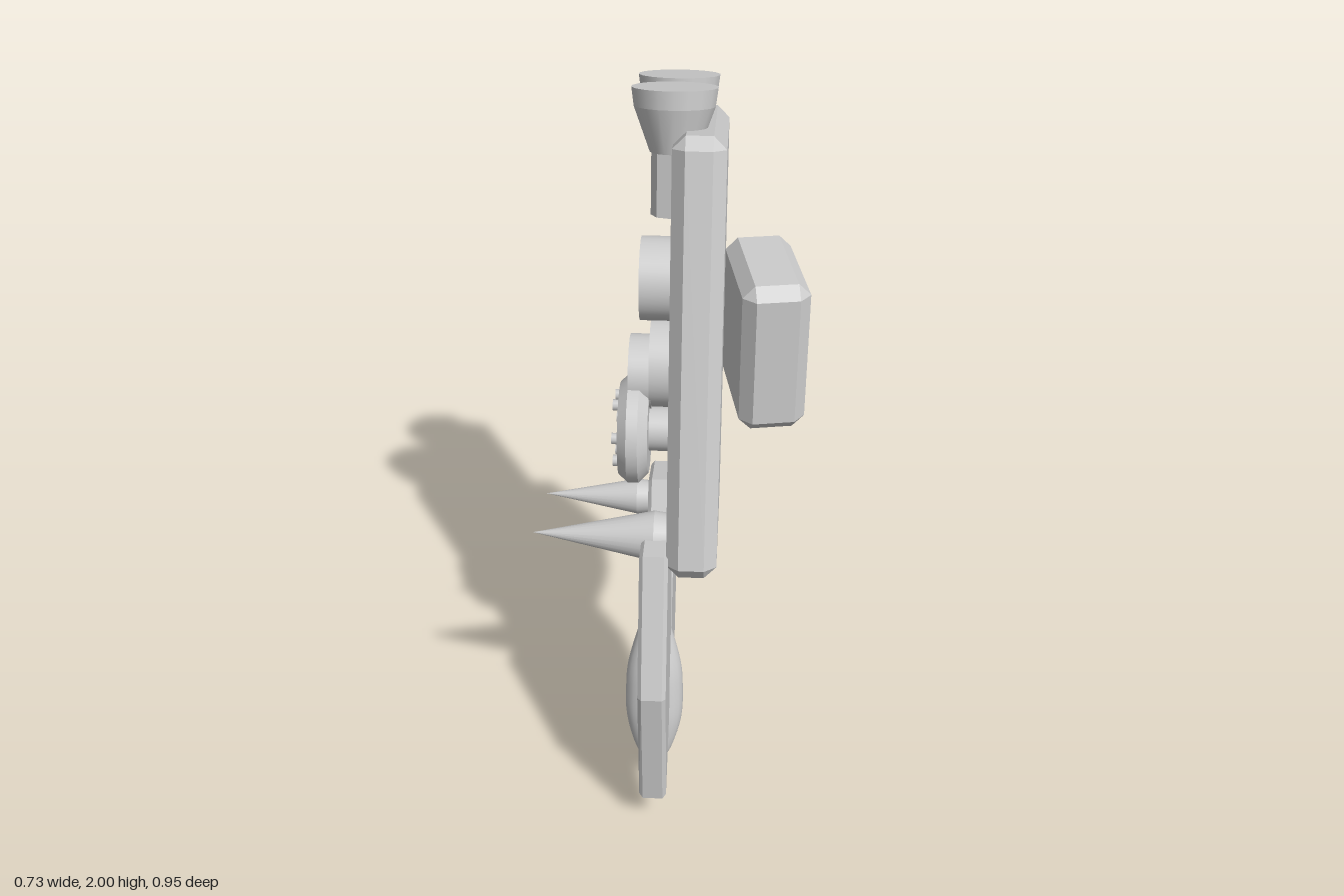
import * as THREE from 'three';
import { ConvexGeometry } from 'three/addons/geometries/ConvexGeometry.js';

const grey = new THREE.MeshStandardMaterial({ color: 0xcccccc });
grey.name = 'grey';

const YAW = -0.167, TILT = -0.237;

function add(parent, name, geometry, x = 0, y = 0, z = 0) {
  const mesh = new THREE.Mesh(geometry, grey);
  mesh.name = name;
  mesh.position.set(x, y, z);
  parent.add(mesh);
  return mesh;
}

// Box with every edge cut at 45 degrees
function chamferBox(w, h, d, c) {
  const points = [];
  for (const sx of [-1, 1]) for (const sy of [-1, 1]) for (const sz of [-1, 1]) {
    const x = w / 2, y = h / 2, z = d / 2;
    points.push(
      new THREE.Vector3(sx * x, sy * (y - c), sz * (z - c)),
      new THREE.Vector3(sx * (x - c), sy * y, sz * (z - c)),
      new THREE.Vector3(sx * (x - c), sy * (y - c), sz * z));
  }
  return new ConvexGeometry(points);
}

// Disc whose axis lies along x, from x0 (outer, left) to x1
function disc(parent, name, r, x0, x1, y, z, sides = 32, rOuter = r) {
  const g = new THREE.CylinderGeometry(rOuter, r, x1 - x0, sides).rotateZ(Math.PI / 2);
  return add(parent, name, g, (x0 + x1) / 2, y, z);
}

// Flat fin from an outline of [z, y] points
function fin(parent, name, outline) {
  const shape = new THREE.Shape(outline.map(([z, y]) => new THREE.Vector2(-z / 0.986, y)));
  const b = 0.01, t = 0.075;
  const g = new THREE.ExtrudeGeometry(shape, {
    depth: t - 2 * b, bevelEnabled: true, bevelSegments: 1,
    bevelSize: b, bevelThickness: b, bevelOffset: -b,
  });
  g.translate(0, 0, b - t / 2).rotateY(Math.PI / 2);
  const mesh = add(parent, name, g, -0.004, 0, 0);
  mesh.rotation.y = YAW;
}

export function createModel() {
  const model = new THREE.Group();
  model.name = 'model';

  // Leaning slab with everything fixed to it
  const pack = new THREE.Group();
  pack.name = 'pack';
  pack.position.set(0.1, 1.3, -0.035);
  pack.rotation.set(TILT, YAW, 0, 'YXZ');
  model.add(pack);
  add(pack, 'slab', chamferBox(0.13, 1.13, 0.63, 0.032));

  // Two flared cups on short faceted columns, joined by a plate
  for (const side of [-1, 1]) {
    const nozzle = new THREE.Group();
    nozzle.name = side > 0 ? 'frontNozzle' : 'rearNozzle';
    nozzle.position.set(-0.065, 0.66, side * 0.14);
    pack.add(nozzle);
    add(nozzle, 'lip', new THREE.CylinderGeometry(0.106, 0.1, 0.045, 18), 0, -0.0225, 0);
    add(nozzle, 'cup', new THREE.CylinderGeometry(0.1, 0.06, 0.11, 18), 0, -0.1, 0);
    add(nozzle, 'column', new THREE.CylinderGeometry(0.056, 0.056, 0.17, 8).toNonIndexed(), 0, -0.225, 0)
      .geometry.computeVertexNormals();
  }
  add(pack, 'columnPlate', new THREE.BoxGeometry(0.04, 0.17, 0.26), -0.068, 0.455, 0);

  // Row of discs on the left-hand face
  disc(pack, 'upperDisc', 0.11, -0.153, -0.06, 0.152, -0.012);
  disc(pack, 'middleDiscBase', 0.12, -0.125, -0.06, -0.075, -0.014);
  disc(pack, 'middleDisc', 0.1, -0.18, -0.12, -0.1, -0.008);
  disc(pack, 'lowerHub', 0.06, -0.15, -0.06, -0.252, 0.018);

  // Domed lower disc with a ring of bolts
  disc(pack, 'lowerDiscBack', 0.12, -0.15, -0.125, -0.252, 0.018, 32, 0.147);
  disc(pack, 'lowerDisc', 0.147, -0.18, -0.15, -0.252, 0.018);
  disc(pack, 'lowerDiscFace', 0.147, -0.204, -0.18, -0.252, 0.018, 32, 0.125);
  for (let i = 0; i < 6; i++) {
    const a = (i + 0.5) * Math.PI / 3;
    disc(pack, 'bolt', 0.015, -0.22, -0.2, -0.252 + 0.09 * Math.cos(a), 0.018 + 0.09 * Math.sin(a), 10);
  }

  // Upright box beside the slab
  add(model, 'sidePod', chamferBox(0.175, 0.42, 0.345, 0.032), 0.278, 1.3, -0.042);

  // Two hanging fins
  fin(model, 'frontFin', [
    [0.35, 0.88], [0.475, 0.5], [0.44, 0.1], [0.26, 0.235], [0.145, 0.5], [0.13, 0.85],
  ]);
  fin(model, 'rearFin', [
    [-0.05, 0.84], [0.165, 0.43], [0.165, 0.15], [0.073, 0], [-0.148, 0.34], [-0.21, 0.72], [-0.2, 0.8],
  ]);

  // Spikes standing out of the fins
  for (const [name, r, length, x, y, z] of [
    ['frontSpike', 0.068, 0.325, -0.045, 0.84, 0.208],
    ['rearSpike', 0.05, 0.26, -0.06, 0.762, -0.088],
  ]) {
    const spike = new THREE.Group();
    spike.name = name;
    spike.position.set(x, y, z);
    spike.rotation.y = YAW;
    model.add(spike);
    add(spike, 'point', new THREE.ConeGeometry(r, length, 24).rotateZ(Math.PI / 2), -length / 2, 0, 0);
    disc(spike, 'root', r * 0.9, 0, 0.05, 0, 0, 24, r);
  }

  // Spindle between the fins
  const profile = new THREE.SplineCurve([
    [0.012, -0.26], [0.038, -0.2], [0.058, -0.1], [0.06, 0], [0.055, 0.08], [0.036, 0.18], [0.018, 0.255],
  ].map(([r, y]) => new THREE.Vector2(r, y))).getPoints(24);
  const spindle = add(model, 'spindle', new THREE.LatheGeometry(
    [new THREE.Vector2(0, -0.262), ...profile, new THREE.Vector2(0, 0.256)], 24), -0.045, 0.3, 0.197);
  spindle.rotation.set(-0.2, YAW, 0, 'YXZ');
  spindle.scale.x = 1.35;

  return model;
}
